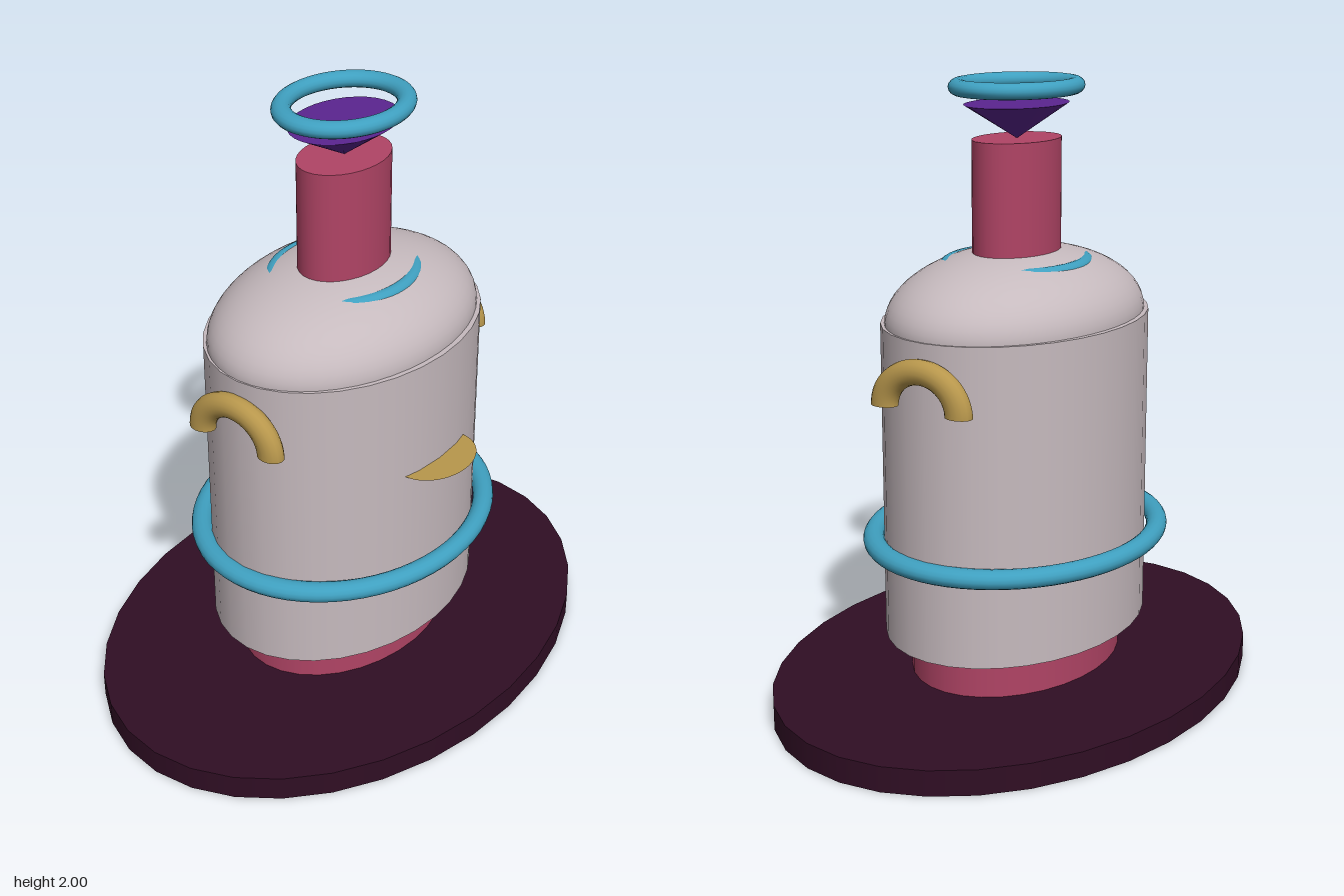
import * as THREE from 'three';

const mat = (name, color, side = THREE.FrontSide) => {
  const m = new THREE.MeshStandardMaterial({ color, side });
  m.name = name;
  return m;
};

export function createModel() {
  const group = new THREE.Group();
  const plum = mat('dark plum', 0x300e24);
  const rose = mat('rose', 0xb04465);
  const grey = mat('warm grey', 0xc6babe);
  const blue = mat('blue', 0x3fa0c0);
  const violet = mat('violet', 0x5b2590);
  const gold = mat('gold', 0xb8974c, THREE.DoubleSide);

  const add = (name, geometry, material, x = 0, y = 0, z = 0) => {
    const mesh = new THREE.Mesh(geometry, material);
    mesh.name = name;
    mesh.position.set(x, y, z);
    group.add(mesh);
    return mesh;
  };

  // Upright oval cylinder between two heights
  const ovalCylinder = (name, material, rx, rz, y0, y1, bottom = 1) => {
    const g = new THREE.CylinderGeometry(1, bottom, y1 - y0, 32);
    g.scale(rx, 1, rz);
    return add(name, g, material, 0, (y0 + y1) / 2, 0);
  };

  // Flat-lying oval ring, given its outer half widths and tube radius
  const ovalRing = (name, y, outerX, outerZ, tube, major) => {
    const g = new THREE.TorusGeometry(major, tube, 16, 64);
    g.rotateX(Math.PI / 2);
    g.scale(outerX / (major + tube), 1, outerZ / (major + tube));
    return add(name, g, blue, 0, y, 0);
  };

  // Stacked vessel
  ovalCylinder('base', plum, 0.96, 0.705, 0, 0.083);
  ovalCylinder('plinth', rose, 0.42, 0.31, 0.083, 0.212);
  ovalCylinder('body', grey, 0.513, 0.39, 0.22, 1.25);
  const dome = new THREE.SphereGeometry(1, 48, 16, 0, Math.PI * 2, 0, Math.PI / 2);
  dome.scale(0.507, 0.22, 0.372);
  add('shoulder', dome, grey, 0, 1.25, 0);
  ovalCylinder('neck', rose, 0.174, 0.126, 1.42, 1.812);
  ovalCylinder('stopper', violet, 0.2, 0.15, 1.81, 1.92, 0);

  // Rings around the belly and shoulder, and one above the stopper
  ovalRing('bellyRing', 0.525, 0.562, 0.475, 0.031, 0.42);
  ovalRing('shoulderRing', 1.412, 0.272, 0.235, 0.025, 0.2);
  ovalRing('topRing', 1.974, 0.242, 0.202, 0.026, 0.16);

  // Arched side handles
  for (const side of [1, -1]) {
    const g = new THREE.TorusGeometry(0.12, 0.04, 16, 32, Math.PI);
    g.rotateY(Math.PI / 2);
    g.scale(0.9, 1, 1.15);
    add(side > 0 ? 'leftHandle' : 'rightHandle', g, gold, side * 0.525, 1.043, 0);
  }

  // Thin half-round lip on the front
  const lip = new THREE.CircleGeometry(0.12, 32, Math.PI, Math.PI);
  lip.rotateX(-Math.PI / 2);
  lip.scale(1.29, 1, 1);
  add('frontLip', lip, gold, 0, 0.87, 0.37);

  return group;
}
